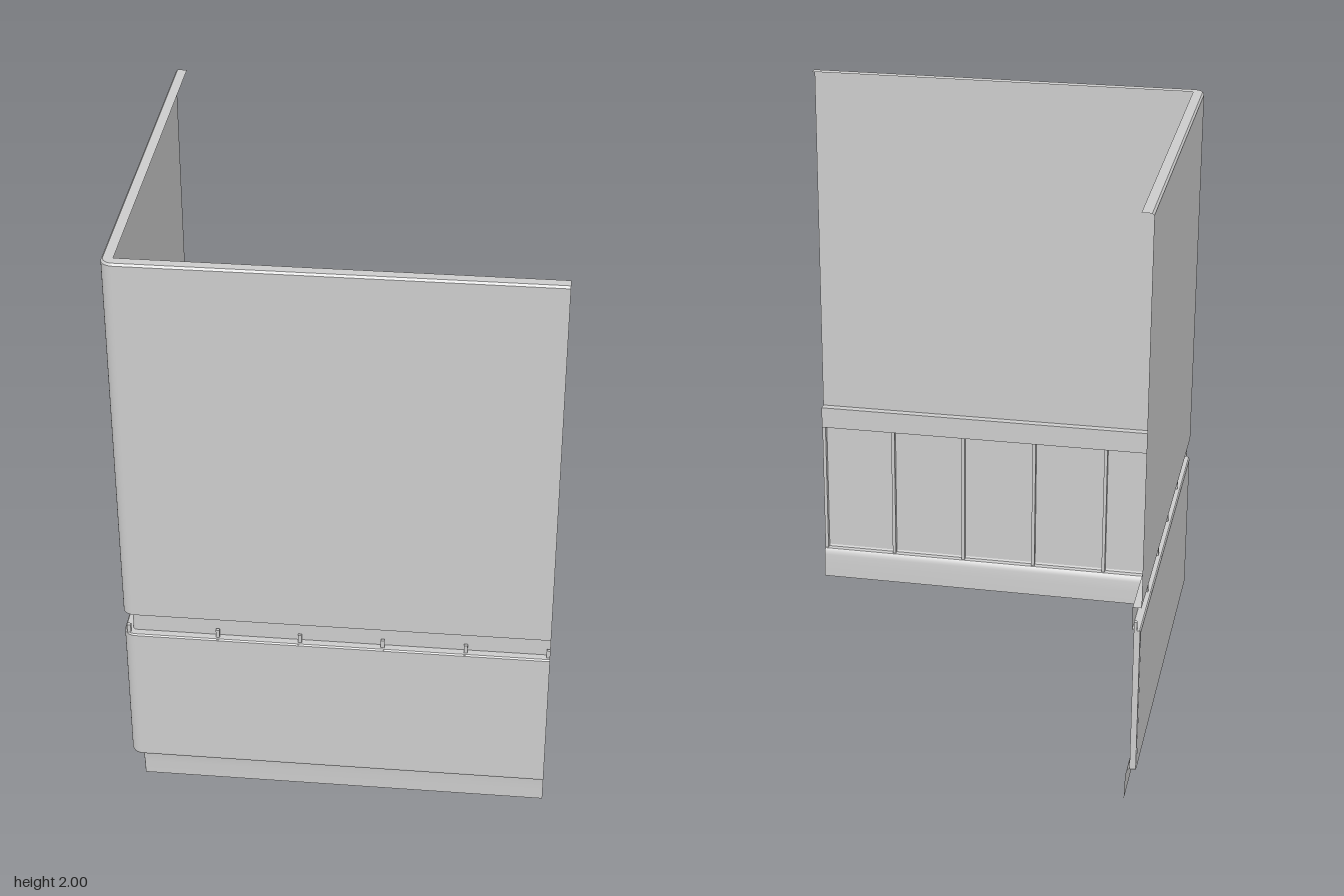
import * as THREE from 'three';

const H = 0.697;   // half length of each wall side
const R = 0.04;    // outer corner radius
const material = new THREE.MeshStandardMaterial({ color: 0xcccccc, side: THREE.DoubleSide });

// L-shaped plan line, set inward by d from the outer face, rounded at the corner
function planLine(d) {
  const c = H - R, r = R - d, points = [[-H + d, -H]];
  for (let i = 0; i <= 8; i++) {
    const a = (i / 8) * Math.PI / 2;
    points.push([-c - r * Math.cos(a), c + r * Math.sin(a)]);
  }
  points.push([H, H - d]);
  return points;
}

// Sweep a profile of [inset, height] points along the L; the profile is smooth within itself
function sweep(profile) {
  const positions = [], index = [];
  const n = planLine(0).length;
  profile.forEach(([d, y]) => planLine(d).forEach(([x, z]) => positions.push(x, y, z)));
  for (let j = 0; j < profile.length - 1; j++) {
    for (let i = 0; i < n - 1; i++) {
      const a = j * n + i, b = a + 1, c = a + n, e = c + 1;
      index.push(a, b, e, a, e, c);
    }
  }
  const geometry = new THREE.BufferGeometry();
  geometry.setAttribute('position', new THREE.Float32BufferAttribute(positions, 3));
  geometry.setIndex(index);
  geometry.computeVertexNormals();
  return geometry;
}

function addBox(group, name, x0, x1, y0, y1, z0, z1) {
  const mesh = new THREE.Mesh(new THREE.BoxGeometry(x1 - x0, y1 - y0, z1 - z0), material);
  mesh.position.set((x0 + x1) / 2, (y0 + y1) / 2, (z0 + z1) / 2);
  mesh.name = name;
  group.add(mesh);
}

export function createModel() {
  const model = new THREE.Group();
  model.name = 'cornerWall';

  // Thin skin, bottom to top; each strip meets the next in a hard edge
  const strips = {
    baseboard: [[0.038, 0], [0.037, 0.05], [0.035, 0.09], [0.031, 0.105], [0.024, 0.113]],
    panelBottomLip: [[0.024, 0.113], [0.003, 0.113]],
    panelBottomBevel: [[0.003, 0.113], [0, 0.12]],
    lowerPanel: [[0, 0.12], [0, 0.617]],
    panelTopBevel: [[0, 0.617], [0.004, 0.622]],
    panelTopLip: [[0.004, 0.622], [0.028, 0.622]],
    recessedBand: [[0.028, 0.622], [0.028, 0.702]],
    upperLedge: [[0.028, 0.702], [0, 0.702]],
    upperWall: [[0, 0.702], [0, 1.993]],
    topBevel: [[0, 1.993], [0.006, 2]],
    topFlange: [[0.006, 2], [0.038, 2]],
  };
  for (const [name, profile] of Object.entries(strips)) {
    const mesh = new THREE.Mesh(sweep(profile), material);
    mesh.name = name;
    model.add(mesh);
  }

  // Upright ribs behind the lower panel, each with a tab standing above its lip
  const ribs = new THREE.Group();
  ribs.name = 'ribs';
  const w = 0.006;
  for (let k = 0; k < 5; k++) {
    const s = Math.min(-0.386 + 0.27 * k, H - w);
    addBox(ribs, 'frontRib', s - w, s + w, 0.115, 0.62, H - 0.022, H - 0.002);
    addBox(ribs, 'frontRibTab', s - w, s + w, 0.61, 0.65, H - 0.022, H - 0.012);
    addBox(ribs, 'sideRib', -H + 0.002, -H + 0.022, 0.115, 0.62, -s - w, -s + w);
    addBox(ribs, 'sideRibTab', -H + 0.012, -H + 0.022, 0.61, 0.65, -s - w, -s + w);
  }
  addBox(ribs, 'cornerRib', -H + 0.012, -H + 0.024, 0.115, 0.65, H - 0.024, H - 0.012);
  model.add(ribs);

  return model;
}
